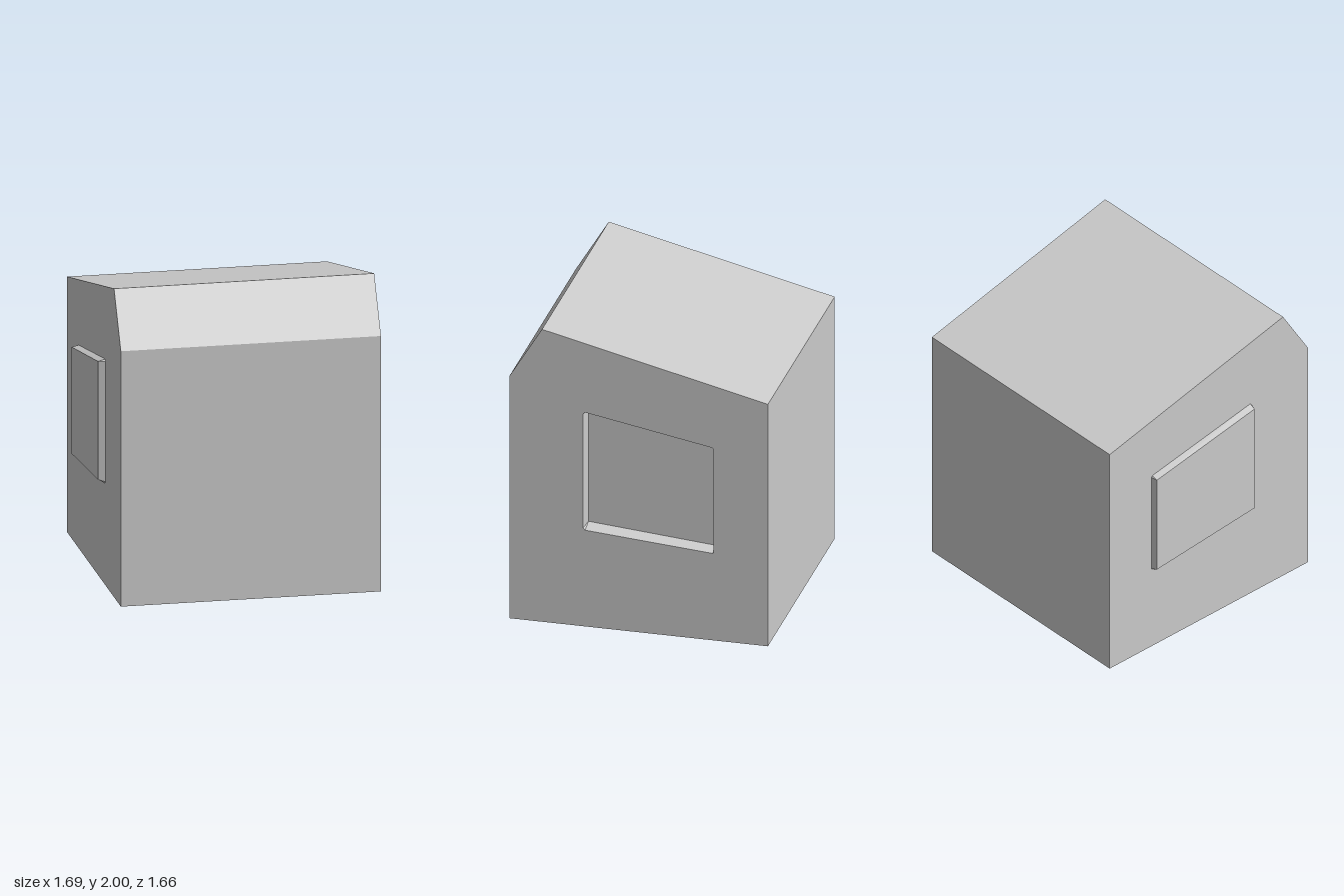
import * as THREE from 'three';

const LEFT = 0.847, RIGHT = -0.803; // side planes of the body
const RECESS = 0.08, RAISE = 0.044; // window depth and panel height

// All loops are [z, y], counter-clockwise with z to the right
const profile = [[-0.83, 0], [0.83, 0], [0.83, 1.655], [0.62, 2], [-0.83, 1.655]];
const inner = [[-0.475, 0.614], [0.343, 0.684], [0.343, 1.45], [-0.475, 1.305]];
// Sloped edge outline with clipped corners, two points per inner corner
const outer = [
  [-0.481, 0.6], [-0.475, 0.594],
  [0.343, 0.658], [0.356, 0.672],
  [0.356, 1.452], [0.345, 1.464],
  [-0.472, 1.316], [-0.481, 1.305],
];
const innerPairs = inner.flatMap((p) => [p, p]);

// Ruled walls between two loops; faces point outward when xA > xB
function walls(loopA, xA, loopB, xB) {
  const out = [];
  const v = ([z, y], x) => new THREE.Vector3(x, y, z);
  loopA.forEach((p, i) => {
    const j = (i + 1) % loopA.length;
    const a = v(p, xA), b = v(loopA[j], xA), c = v(loopB[j], xB), d = v(loopB[i], xB);
    for (const t of [[a, b, c], [a, c, d]]) {
      if (new THREE.Triangle(...t).getArea() > 1e-8) out.push(...t);
    }
  });
  return out;
}

// Flat face at x, optionally with a hole; dir is the x direction it faces
function cap(loop, x, dir, hole) {
  const toV2 = (l) => l.map(([z, y]) => new THREE.Vector2(z, y));
  const contour = toV2(loop);
  const holes = hole ? [toV2(hole).reverse()] : [];
  const pts = [contour, ...holes].flat();
  return THREE.ShapeUtils.triangulateShape(contour, holes).flatMap((f) =>
    (dir < 0 ? f : [...f].reverse()).map((i) => new THREE.Vector3(x, pts[i].y, pts[i].x)));
}

function part(name, ...pieces) {
  const geometry = new THREE.BufferGeometry().setFromPoints(pieces.flat());
  geometry.computeVertexNormals();
  const mesh = new THREE.Mesh(geometry,
    new THREE.MeshStandardMaterial({ color: 0xcccccc, flatShading: true }));
  mesh.name = name;
  return mesh;
}

export function createModel() {
  const group = new THREE.Group();
  group.name = 'slopedBlock';
  group.add(
    // Block with a sloped top and an opening on each side
    part('body',
      walls(profile, LEFT, profile, RIGHT),
      cap(profile, LEFT, 1, outer),
      cap(profile, RIGHT, -1, outer)),
    // Sunken window on the left side
    part('windowRecess',
      walls(innerPairs, LEFT - RECESS, outer, LEFT),
      cap(inner, LEFT - RECESS, 1)),
    // Matching raised panel on the right side
    part('raisedPanel',
      walls(outer, RIGHT, innerPairs, RIGHT - RAISE),
      cap(inner, RIGHT - RAISE, -1)),
  );
  return group;
}
